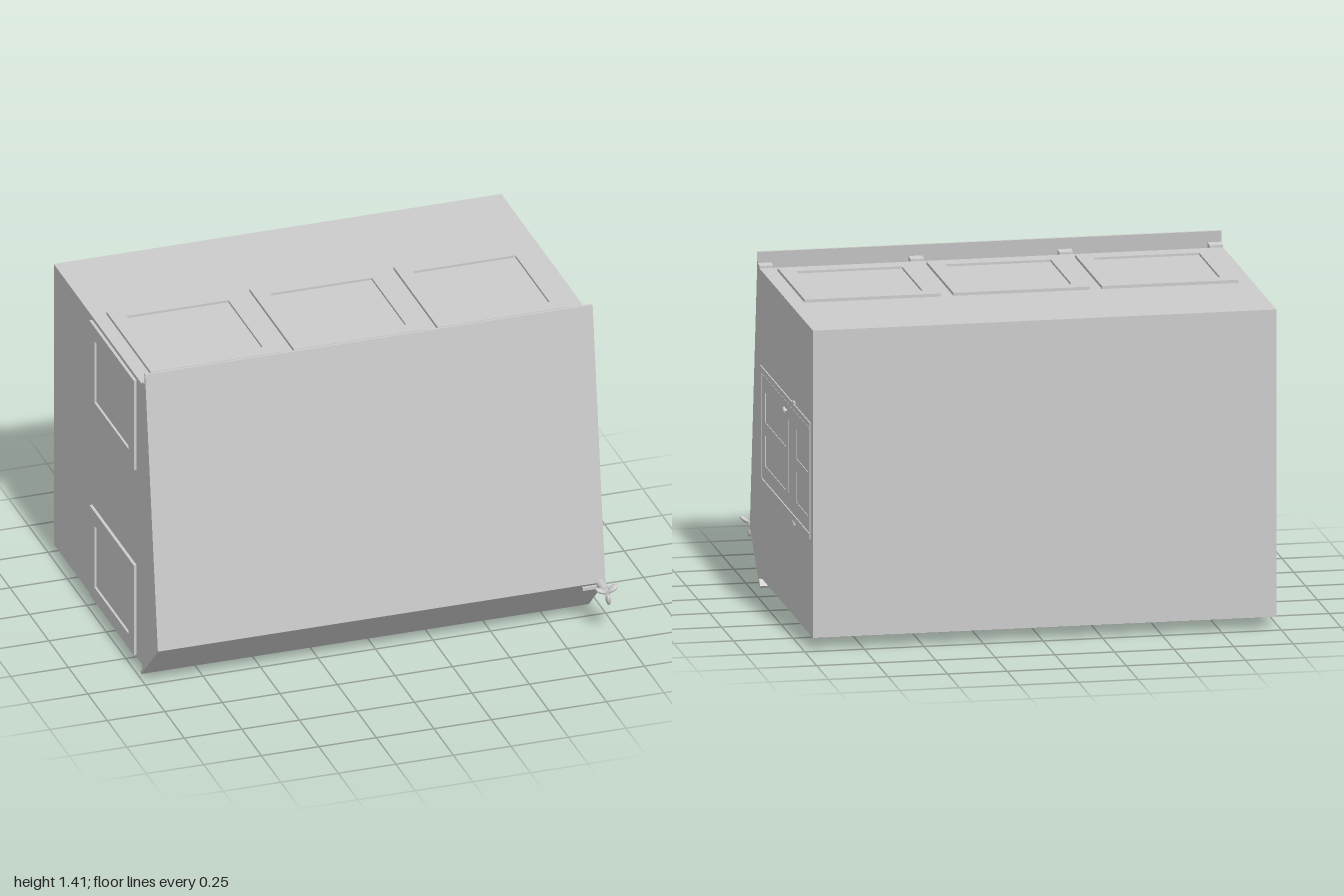
import * as THREE from 'three';

const mat = new THREE.MeshStandardMaterial({ color: 0xcccccc, flatShading: true });
const smooth = new THREE.MeshStandardMaterial({ color: 0xcccccc });
const LEFT = 0.96, RIGHT = -0.985;

function add(group, name, geo, material = mat) {
  const mesh = new THREE.Mesh(geo, material);
  mesh.name = name;
  group.add(mesh);
  return mesh;
}

// Side profile in (z, y), extruded across x from x0 to x1
function profile(points, x0, x1) {
  const shape = new THREE.Shape(points.map(([z, y]) => new THREE.Vector2(z, y)));
  const geo = new THREE.ExtrudeGeometry(shape, { depth: x1 - x0, bevelEnabled: false });
  return geo.rotateY(-Math.PI / 2).translate(x1, 0, 0);
}

function rect(path, x0, y0, x1, y1) {
  path.moveTo(x0, y0);
  path.lineTo(x1, y0);
  path.lineTo(x1, y1);
  path.lineTo(x0, y1);
  path.closePath();
  return path;
}

// Flat plate centred on the origin, facing +z, with rectangular holes
function plate(w, h, depth, holes) {
  const shape = rect(new THREE.Shape(), -w / 2, -h / 2, w / 2, h / 2);
  for (const r of holes) shape.holes.push(rect(new THREE.Path(), ...r));
  return new THREE.ExtrudeGeometry(shape, { depth, bevelEnabled: false });
}

// Hatch: a raised frame around a slightly lower centre panel
function hatch(name, w, h) {
  const g = new THREE.Group();
  g.name = name;
  const b = 0.065;
  const a = w / 2 - b, c = h / 2 - b;
  add(g, 'hatchFrame', plate(w, h, 0.013, [[-a, -c, a, c]]));
  add(g, 'hatchPanel', plate(2 * a, 2 * c, 0.003, []));
  return g;
}

export function createModel() {
  const model = new THREE.Group();

  // Main cabinet with a sloping front
  add(model, 'cabinet', profile([
    [-0.72, 0.055], [0.41, 0.055], [0.41, 0.075], [0.565, 0.22], [0.41, 1.355], [-0.72, 1.355],
  ], RIGHT, LEFT));

  // Bent front cover
  add(model, 'frontCover', profile([
    [0.452, 1.418], [0.44, 1.418], [0.604, 0.22], [0.395, 0.014], [0.402, 0.005], [0.616, 0.214],
  ], RIGHT, LEFT));

  // Ribs that hold the cover off the cabinet
  for (const x of [RIGHT, -0.355, 0.27, LEFT - 0.057]) {
    add(model, 'coverRib', profile([
      [0.41, 1.355], [0.41, 1.365], [0.447, 1.37], [0.605, 0.22],
      [0.42, 0.038], [0.41, 0.055], [0.41, 0.075], [0.565, 0.22],
    ].reverse(), x, x + 0.057));
  }

  // Three hatches on the top and three underneath
  for (const x of [-0.6375, -0.0145, 0.61]) {
    const top = hatch('topHatch', 0.573, 0.57);
    top.rotation.x = -Math.PI / 2;
    top.position.set(x, 1.355, 0.06);
    const bottom = hatch('bottomHatch', 0.573, 0.57);
    bottom.rotation.x = Math.PI / 2;
    bottom.position.set(x, 0.055, 0.06);
    model.add(top, bottom);
  }

  // Two hatches on the right side
  for (const y of [0.275, 1.132]) {
    const side = hatch('sideHatch', 0.57, 0.415);
    side.rotation.y = -Math.PI / 2;
    side.position.set(RIGHT, y, 0.06);
    model.add(side);
  }

  // Door on the left side; its local x runs towards -z
  const door = new THREE.Group();
  door.name = 'door';
  door.rotation.y = Math.PI / 2;
  door.position.set(LEFT, 0.707, -0.147);
  model.add(door);
  add(door, 'doorSurround', plate(1.045, 0.495, 0.005, [[-0.495, -0.224, 0.515, 0.224]]));
  add(door, 'doorLeaves', plate(1.0, 0.44, 0.003, [
    [-0.432, 0.028, 0.008, 0.153], [-0.432, -0.157, 0.008, -0.027],
    [0.055, -0.157, 0.06, 0.153],
    [0.228, 0.028, 0.47, 0.153], [0.228, -0.157, 0.47, -0.027],
  ])).position.x = 0.01;
  for (const s of [-1, 1]) {
    add(door, 'doorStop', new THREE.BoxGeometry(0.028, 0.014, 0.01)).position.set(0.194, s * 0.254, 0.004);
  }
  for (const x of [-0.385, 0.385]) {
    add(door, 'doorHinge', new THREE.BoxGeometry(0.055, 0.006, 0.008)).position.set(x, -0.224, 0.003);
  }

  // Door knob
  const knob = new THREE.LatheGeometry([
    [0, 0], [0.007, 0], [0.007, 0.008], [0.015, 0.011], [0.015, 0.016], [0.01, 0.02], [0, 0.021],
  ].map(([r, y]) => new THREE.Vector2(r, y)), 16).rotateX(Math.PI / 2);
  add(door, 'doorKnob', knob).position.set(0.03, 0.186, 0);

  // Clamp on the front cover: base, stem and three-lobed handle
  const clamp = new THREE.Group();
  clamp.name = 'clamp';
  clamp.position.set(0.94, 0.208, 0);
  model.add(clamp);
  add(clamp, 'clampBase', new THREE.BoxGeometry(0.09, 0.014, 0.012)).position.set(-0.035, -0.01, 0.617);
  add(clamp, 'clampStem', new THREE.CylinderGeometry(0.017, 0.02, 0.07, 16).rotateX(Math.PI / 2), smooth)
    .position.z = 0.645;
  add(clamp, 'clampHub', new THREE.CylinderGeometry(0.012, 0.012, 0.035, 16).rotateX(Math.PI / 2), smooth)
    .position.z = 0.69;
  for (let i = 0; i < 3; i++) {
    const arm = new THREE.Group();
    arm.name = 'handleArm';
    arm.position.z = 0.7;
    arm.rotation.z = -Math.PI / 2 + 0.1 + i * Math.PI * 2 / 3;
    const lobe = add(arm, 'handleLobe', new THREE.SphereGeometry(1, 16, 12), smooth);
    lobe.scale.set(0.026, 0.01, 0.02);
    lobe.position.x = 0.03;
    clamp.add(arm);
  }

  return model;
}
